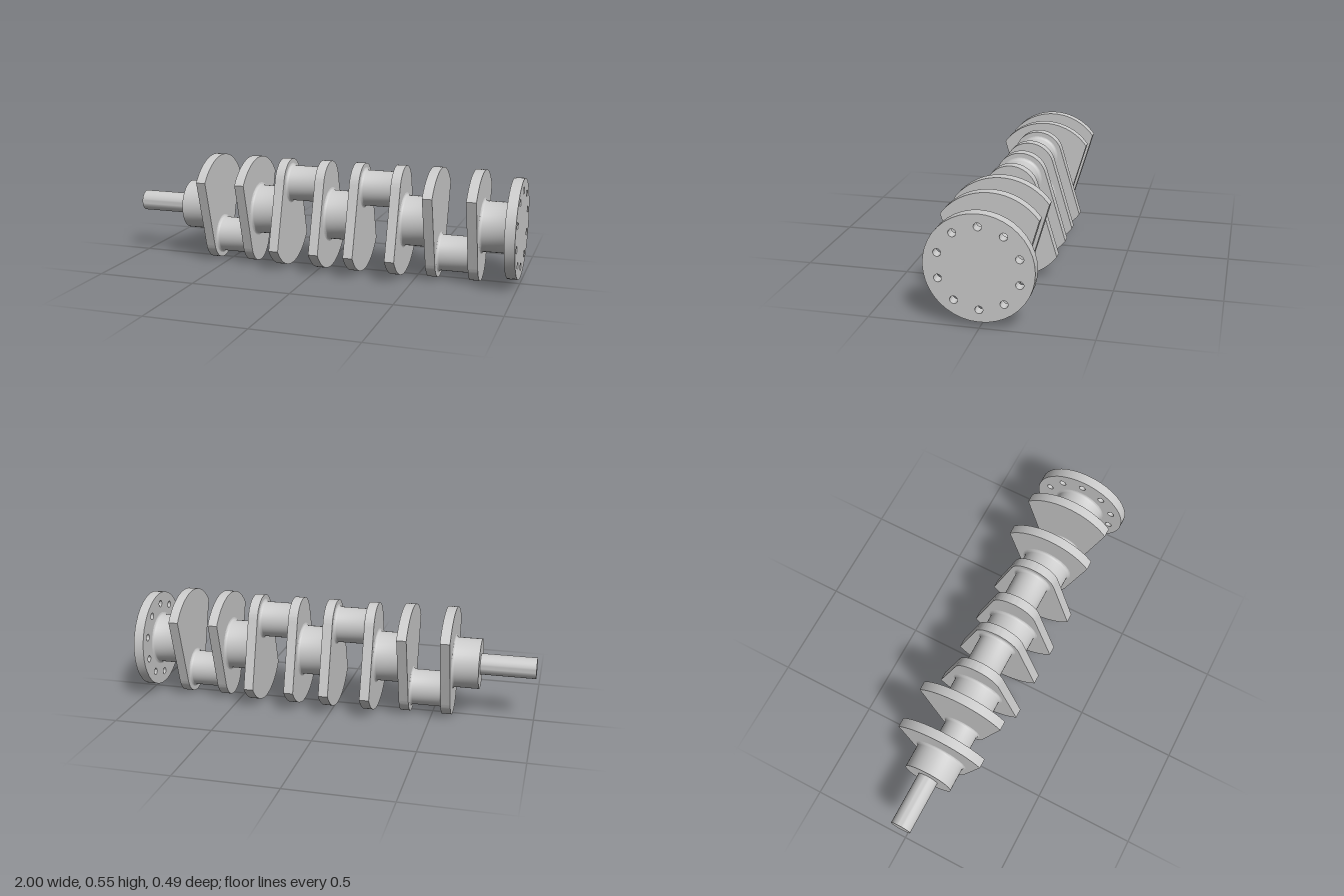
import * as THREE from 'three';
import { toCreasedNormals } from 'three/addons/utils/BufferGeometryUtils.js';

const AXIS_Y = 0.272;   // height of the crank axis
const THROW = 0.149;    // crank pin offset
const WEB = 0.048;      // web thickness
const FILLET = 0.013;

export function createModel() {
  const model = new THREE.Group();
  model.name = 'crankshaft';
  const material = new THREE.MeshStandardMaterial({ color: 0xcccccc });

  const add = (name, geometry, x, y = 0) => {
    const mesh = new THREE.Mesh(toCreasedNormals(geometry, 0.6), material);
    mesh.name = name;
    mesh.position.set(x, AXIS_Y + y, 0);
    model.add(mesh);
    return mesh;
  };

  // Round bar along x from x0 to x1, with optional concave fillets at its ends
  const bar = (name, x0, x1, r, y = 0, fillet0 = true, fillet1 = true) => {
    const L = x1 - x0, pts = [new THREE.Vector2(0, 0)];
    const fillet = (atEnd) => {
      for (let i = 0; i <= 4; i++) {
        const a = (atEnd ? 4 - i : i) / 4 * Math.PI / 2;
        const h = FILLET * (1 - Math.cos(a));
        pts.push(new THREE.Vector2(r + FILLET * (1 - Math.sin(a)), atEnd ? L - h : h));
      }
    };
    if (fillet0) fillet(false); else pts.push(new THREE.Vector2(r, 0));
    if (fillet1) fillet(true); else pts.push(new THREE.Vector2(r, L));
    pts.push(new THREE.Vector2(0, L));
    add(name, new THREE.LatheGeometry(pts, 40).rotateZ(-Math.PI / 2), x0, y);
  };

  // Plate extruded along +x
  const plate = (shape, depth, curveSegments) =>
    new THREE.ExtrudeGeometry(shape, { depth, bevelEnabled: false, curveSegments }).rotateY(Math.PI / 2);

  // Web outline: wide counterweight arc above, sides tangent to the pin boss below
  const webShape = new THREE.Shape();
  webShape.absarc(0, 0, 0.2725, 0.632, Math.PI - 0.632, false);
  webShape.absarc(0, -THROW, 0.123, Math.PI + 0.288, 2 * Math.PI - 0.288, false);
  webShape.closePath();

  // Webs in pairs, each pair carrying one crank pin
  const throws = [[-0.6, -1], [-0.214, 1], [0.172, 1], [0.558, -1]];
  const SPAN = 0.256;
  throws.forEach(([x, dir], i) => {
    for (const wx of [x, x + SPAN - WEB]) {
      const g = plate(webShape, WEB, 20);
      if (dir > 0) g.rotateX(Math.PI);
      add('counterweightWeb', g, wx);
    }
    bar('crankPin' + (i + 1), x + WEB, x + SPAN - WEB, 0.089, dir * THROW);
  });

  // Main journals
  bar('frontJournal', -0.73, throws[0][0], 0.124, 0, false, true);
  for (let i = 0; i < 4; i++) {
    const end = i < 3 ? throws[i + 1][0] : 0.95;
    bar('mainJournal' + (i + 1), throws[i][0] + SPAN, end, 0.124);
  }

  // Nose shaft
  bar('noseShaft', -1, -0.73, 0.052, 0, false, false);

  // Rear flange with a ring of bolt holes
  const flange = new THREE.Shape().absarc(0, 0, 0.244, 0, Math.PI * 2, false);
  for (let i = 0; i < 10; i++) {
    const a = Math.PI / 2 + i * Math.PI / 5;
    flange.holes.push(new THREE.Path().absarc(0.187 * Math.cos(a), 0.187 * Math.sin(a), 0.0175, 0, Math.PI * 2, true));
  }
  add('flange', plate(flange, 0.05, 20), 0.95);

  return model;
}
